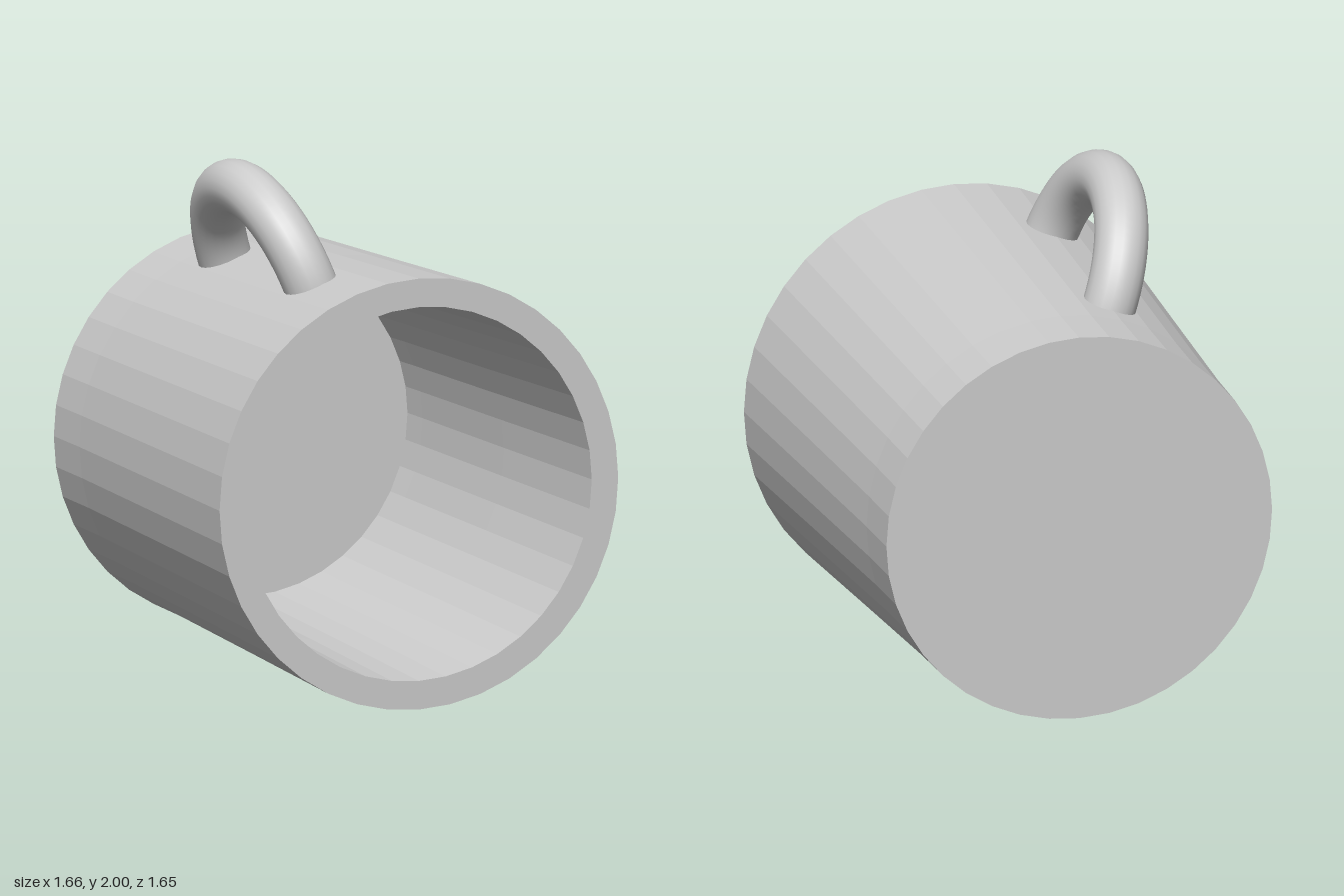
import * as THREE from 'three';

const CENTRE_Y = 0.828;   // height of the mug's axis
const TILT = 0.333;       // handle leans toward -x about the axis

export function createModel() {
  const model = new THREE.Group();
  const flat = new THREE.MeshStandardMaterial({ color: 0xcccccc, flatShading: true });
  const smooth = new THREE.MeshStandardMaterial({ color: 0xcccccc });

  // Mug lying on its side: closed base at -z, open mouth at +z
  const profile = [
    [0, -0.825], [0.76, -0.825], [0.765, -0.58], [0.795, 0.1], [0.828, 0.825], // base and outer wall
    [0.718, 0.825], [0.685, 0.1], [0.658, -0.58], [0.652, -0.7], [0, -0.7],    // rim, inner wall, floor
  ].map(([r, z]) => new THREE.Vector2(r, z));
  const body = new THREE.Mesh(new THREE.LatheGeometry(profile, 40), flat);
  body.name = 'mugBody';
  body.rotation.x = Math.PI / 2;
  body.position.y = CENTRE_Y;
  model.add(body);

  // Half-ring handle, its ends sunk into the wall
  const ring = new THREE.TorusGeometry(0.403, 0.103, 20, 40, Math.PI);
  ring.rotateY(Math.PI / 2);
  ring.translate(0, 0.728, 0.012);
  const handle = new THREE.Mesh(ring, smooth);
  handle.name = 'handle';
  handle.rotation.z = TILT;
  handle.position.y = CENTRE_Y;
  model.add(handle);

  return model;
}
